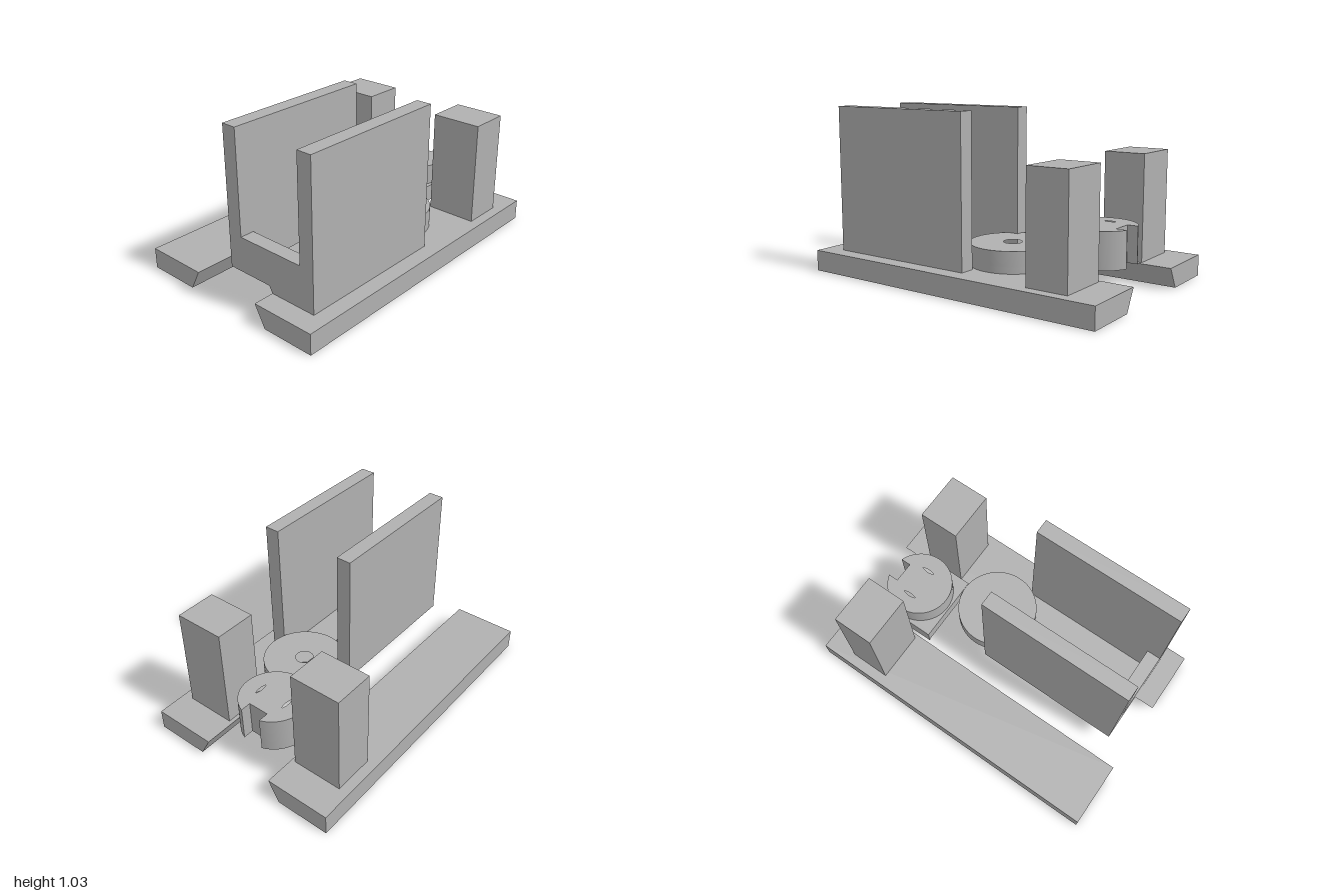
import * as THREE from 'three';
import { toCreasedNormals } from 'three/addons/utils/BufferGeometryUtils.js';

const SEG = 48;
const SLOT_Z = 0.212, SLOT_Y = 0.17;   // roof of the dovetail channel between the rails
const RAIL_Z = 0.235, RAIL_Y = 0.13;   // upper inner edge of each rail

export function createModel() {
  const model = new THREE.Group();
  model.name = 'slideFixture';
  const grey = new THREE.MeshStandardMaterial({ color: 0xb0b0b0 });
  grey.name = 'grey';

  const add = (name, geometry) => {
    const mesh = new THREE.Mesh(geometry, grey);
    mesh.name = name;
    model.add(mesh);
    return mesh;
  };
  const block = (name, x0, x1, y0, y1, z0, z1) => {
    const g = new THREE.BoxGeometry(x1 - x0, y1 - y0, z1 - z0);
    g.translate((x0 + x1) / 2, (y0 + y1) / 2, (z0 + z1) / 2);
    return add(name, g);
  };
  // Points [x, z] to a plan shape, with z flipped so that it lands right after rotation
  const plan = (pts) => new THREE.Shape(pts.map(([x, z]) => new THREE.Vector2(x, -z)));
  const arc = (cx, cz, r, a0, a1, n = SEG) => Array.from({ length: n + 1 }, (_, i) => {
    const a = a0 + (a1 - a0) * i / n;
    return [cx + r * Math.cos(a), cz + r * Math.sin(a)];
  });
  // Raise a plan shape from y0 to y1; "bend" may move the vertices of the underside
  const raise = (name, shape, y0, y1, bend) => {
    const g = new THREE.ExtrudeGeometry(shape, { depth: y1 - y0, bevelEnabled: false, curveSegments: SEG });
    g.rotateX(-Math.PI / 2).translate(0, y0, 0);
    if (bend) {
      const p = g.attributes.position;
      for (let i = 0; i < p.count; i++) if (p.getY(i) < y0 + 1e-4) bend(p, i);
    }
    return add(name, toCreasedNormals(g, 0.5));
  };
  // Run a [z, y] section along x
  const run = (name, pts, x0, x1) => {
    const s = new THREE.Shape(pts.map(([z, y]) => new THREE.Vector2(z, y)));
    const g = new THREE.ExtrudeGeometry(s, { depth: x1 - x0, bevelEnabled: false });
    g.rotateY(-Math.PI / 2).translate(x1, 0, 0);
    return add(name, g);
  };

  // Bevelled rails with a post on each
  for (const [side, s] of [['front', 1], ['rear', -1]]) {
    run(side + 'Rail', [[0.305 * s, 0], [0.645 * s, 0], [0.645 * s, RAIL_Y], [RAIL_Z * s, RAIL_Y]], -1, 1);
    block(side + 'Post', 0.545, 0.803, RAIL_Y, 0.777, s > 0 ? 0.26 : -0.58, s > 0 ? 0.58 : -0.26);
  }

  // Tall walls joined by a low cross wall
  block('frontWall', -0.87, 0.09, RAIL_Y, 1.035, 0.45, 0.545);
  block('rearWall', -0.87, 0.09, SLOT_Y, 1.035, -0.095, 0);
  run('crossWall', [[0, SLOT_Y], [SLOT_Z, SLOT_Y], [RAIL_Z, RAIL_Y], [0.45, RAIL_Y], [0.45, 0.39], [0, 0.39]], -0.87, -0.78);

  // Low disc with a centre hole, and its foot standing on the front rail
  const cx = 0.19, cz = 0.19, R = 0.257, r = 0.055;
  const disc = plan(arc(cx, cz, R, 0, Math.PI * 2, 64).slice(0, -1));
  disc.holes.push(new THREE.Path().absarc(cx, -cz, r, 0, Math.PI * 2, true));
  raise('lowDisc', disc, SLOT_Y, 0.26);
  const a = Math.asin((SLOT_Z - cz) / R), b = Math.asin((SLOT_Z - cz) / r);
  const foot = plan([...arc(cx, cz, R, a, Math.PI - a), ...arc(cx, cz, r, Math.PI - b, b, 16)]);
  raise('lowDiscFoot', foot, RAIL_Y, SLOT_Y, (p, i) => p.setZ(i, Math.max(p.getZ(i), RAIL_Z)));

  // Tall disc with a square notch and two lens-shaped slots
  const dx = 0.67, dr = 0.21, n = Math.asin(0.067 / dr);
  const notched = plan([...arc(dx, 0, dr, n, Math.PI * 2 - n, 64), [0.803, -0.067], [0.803, 0.067]]);
  for (const s of [1, -1]) {
    const lens = new THREE.Path();
    lens.moveTo(0.63, 0.1 * s);
    lens.quadraticCurveTo(0.675, 0.1 * s + 0.018, 0.72, 0.1 * s);
    lens.quadraticCurveTo(0.675, 0.1 * s - 0.018, 0.63, 0.1 * s);
    notched.holes.push(lens);
  }
  raise('notchedDisc', notched, SLOT_Y, 0.39);

  // Cradle around the tall disc, its lower edges following the dovetail slope
  const w = 0.222;
  const cradle = plan([[0.448, -w], [0.673, -w], [0.673, -dr], ...arc(dx, 0, dr, Math.PI * 1.5, Math.PI / 2, 32),
    [0.673, dr], [0.673, w], [0.448, w], [0.448, dr], [0.448, -dr]]);
  raise('cradle', cradle, 0.153, 0.26, (p, i) => {
    if (Math.abs(p.getZ(i)) < w - 1e-3) p.setY(i, SLOT_Y);
  });

  return model;
}
